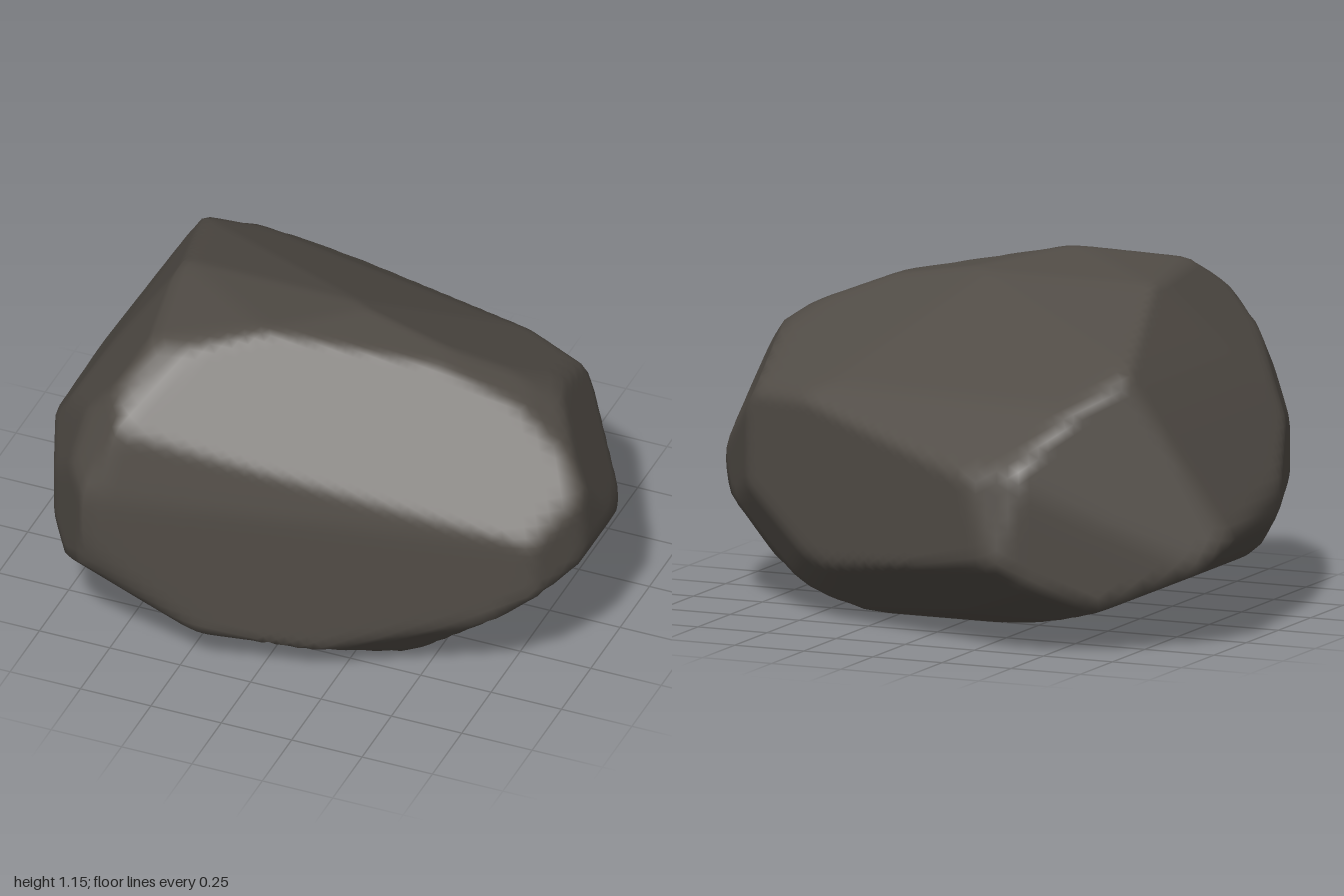
import * as THREE from 'three';
import { mergeVertices } from 'three/addons/utils/BufferGeometryUtils.js';

const MID = 0.577; // height of the boulder's core
const ROUNDING = 250; // higher gives crisper edges between facets
const v = (x, y, z) => new THREE.Vector3(x, y, z);
const rad = THREE.MathUtils.degToRad;

// Three outlines around the core: two axes, then corners along them
const outlines = [
  // across the width
  [v(1, 0, 0), v(0, 1, 0), [-1, -.23, -.97, -.3, -.62, -.45, -.28, -.55, -.1, -.577, .28, -.577, .5, -.51,
    .78, -.37, .92, -.23, 1, -.09, .98, .15, .92, .23, .73, .37, .45, .48, -.1, .58, -.52, .53, -.7, .28]],
  // along the depth
  [v(0, 0, 1), v(0, 1, 0), [.75, -.43, .84, -.17, .87, 0, .82, .32, .52, .54, .37, .578, .06, .53,
    -.43, .34, -.74, .14, -.82, .04, -.87, -.26, -.85, -.33, -.52, -.5, -.26, -.577, .18, -.577, .45, -.54]],
  // plan
  [v(1, 0, 0), v(0, 0, -1), [-1, .4, -.4, .86, -.34, .87, .75, .37, .95, .11, 1, -.06,
    .99, -.28, .88, -.45, -.55, -.86, -.75, -.63, -.93, -.17]],
];

// Slanted chips: heading and tilt of a cutting ring, then angle and distance of each chip
const chipRings = [
  [36, 28, [[158, .895], [134, .75], [63, .48], [48, .595], [-63, .73], [-128, .85]]],
  [216, 28, [[152, .8], [30, .95], [-28, .925], [-50, .85], [-120, .69], [-141, .76], [-154, .773]]],
  [144, -28, [[123, .81], [100, .6], [85, .46], [78, .44], [18, .86], [-76, .745], [-135, .8]]],
];

// A facet lies square to its normal n, at distance d from the core
function collectFacets() {
  const facets = [
    { n: v(.33, .63, .7).normalize(), d: .607 }, // sloping front shoulder
    { n: v(.28, .17, .945).normalize(), d: .672 }, // broad front facet
  ];
  const add = (right, up, x, y, d) => facets.push({ n: right.clone().multiplyScalar(x).addScaledVector(up, y), d });

  // Each outline edge gives one facet
  for (const [right, up, flat] of outlines) {
    const corners = [];
    for (let i = 0; i < flat.length; i += 2) corners.push(new THREE.Vector2(flat[i], flat[i + 1]));
    corners.forEach((p, i) => {
      const q = corners[(i + 1) % corners.length];
      const m = new THREE.Vector2(q.y - p.y, p.x - q.x).normalize();
      if (m.dot(p) < 0) m.negate();
      add(right, up, m.x, m.y, Math.max(...corners.map((c) => c.dot(m))));
    });
  }

  for (const [heading, tilt, chips] of chipRings) {
    const turn = new THREE.Euler(-rad(tilt), rad(heading), 0, 'YXZ');
    const right = v(1, 0, 0).applyEuler(turn), up = v(0, 1, 0).applyEuler(turn);
    for (const [angle, d] of chips) add(right, up, Math.cos(rad(angle)), Math.sin(rad(angle)), d);
  }
  return facets;
}

function boulderGeometry() {
  const ball = new THREE.IcosahedronGeometry(1, 28);
  ball.deleteAttribute('uv');
  ball.deleteAttribute('normal');
  const geo = mergeVertices(ball);

  // Move each point of the ball to the nearest facet, slightly rounding the edges
  const facets = collectFacets(), pos = geo.attributes.position, dir = v(0, 0, 0);
  for (let i = 0; i < pos.count; i++) {
    dir.fromBufferAttribute(pos, i).normalize();
    const reach = facets.map(({ n, d }) => Math.max(0, n.dot(dir) / d));
    const most = Math.max(...reach);
    const sum = reach.reduce((s, r) => s + (r / most) ** ROUNDING, 0);
    dir.multiplyScalar(1 / (most * sum ** (1 / ROUNDING)));
    pos.setXYZ(i, dir.x, dir.y + MID, dir.z);
  }
  geo.computeVertexNormals();
  return geo;
}

export function createModel() {
  const group = new THREE.Group();
  group.name = 'rock';
  const stone = new THREE.MeshStandardMaterial({ color: 0x514c46 });
  stone.name = 'dark stone';
  const boulder = new THREE.Mesh(boulderGeometry(), stone);
  boulder.name = 'boulder';
  group.add(boulder);
  return group;
}
